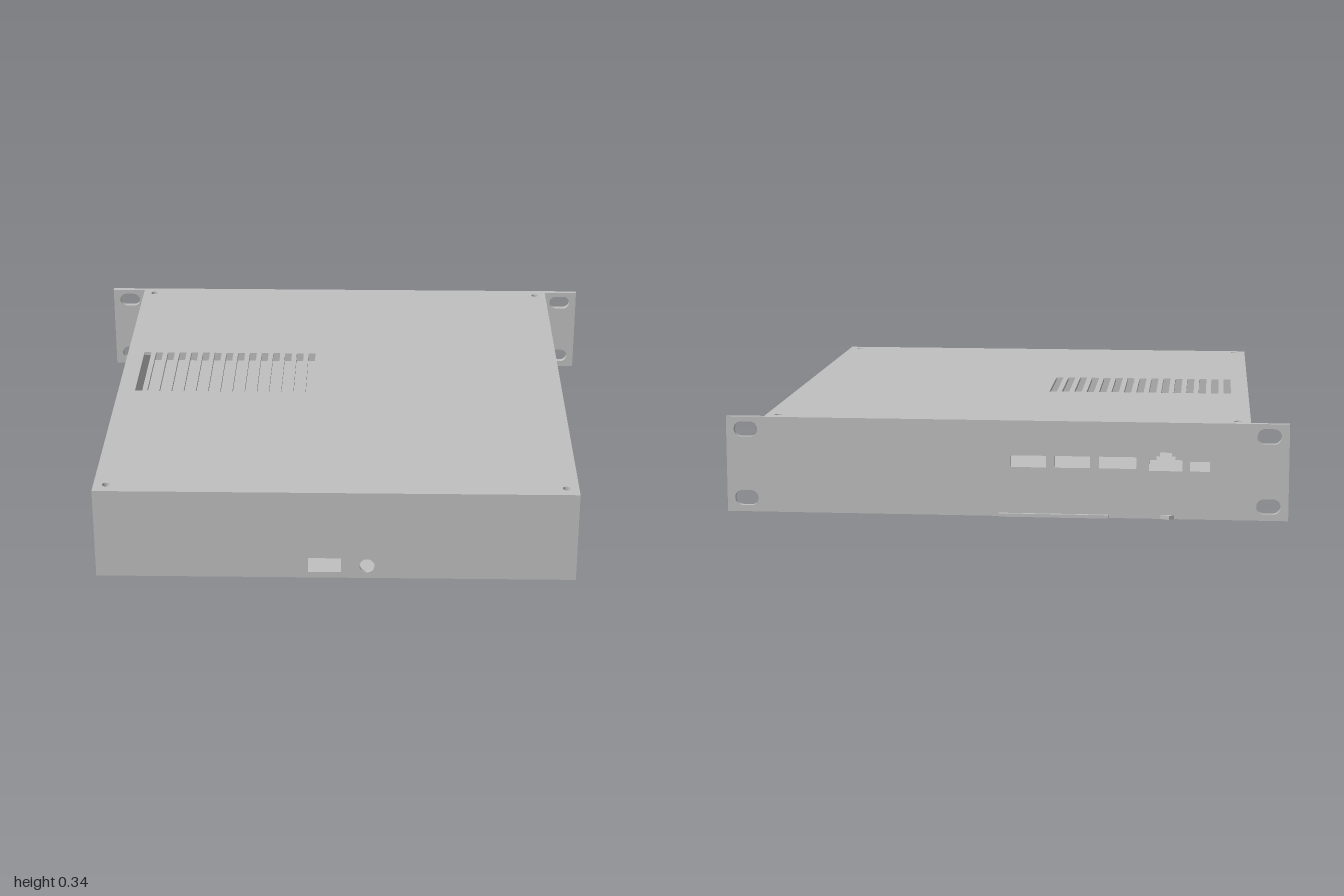
import * as THREE from 'three';

const W = 0.865, H = 0.345, BACK = -0.91, FRONT = 0.945, T = 0.013;

// Closed path from corner points
const poly = (pts) => new THREE.Path(pts.map(([x, y]) => new THREE.Vector2(x, y)));
const rect = (x0, y0, x1, y1) => poly([[x0, y0], [x1, y0], [x1, y1], [x0, y1]]);

function circle(x, y, r) {
  const p = new THREE.Path();
  p.absarc(x, y, r, 0, Math.PI * 2, false);
  return p;
}

// Horizontal slot with round ends
function slot(x, y, w, h) {
  const r = h / 2, s = w / 2 - r, p = new THREE.Path();
  p.absarc(x + s, y, r, -Math.PI / 2, Math.PI / 2, false);
  p.absarc(x - s, y, r, Math.PI / 2, Math.PI * 1.5, false);
  p.closePath();
  return p;
}

// Flat sheet with cutouts, lying in the xy plane
function sheet([x0, y0, x1, y1], holes, depth) {
  const shape = new THREE.Shape(rect(x0, y0, x1, y1).getPoints());
  shape.holes.push(...holes);
  return new THREE.ExtrudeGeometry(shape, { depth, bevelEnabled: false, curveSegments: 12 });
}

export function createModel() {
  const group = new THREE.Group();
  const metal = new THREE.MeshStandardMaterial({ color: 0xbfbfbf });
  metal.name = 'light grey metal';

  function add(name, geometry, x = 0, y = 0, z = 0) {
    const mesh = new THREE.Mesh(geometry, metal);
    mesh.name = name;
    mesh.position.set(x, y, z);
    group.add(mesh);
    return mesh;
  }

  // Rack panel with ear slots and connector cutouts
  const panelHoles = [];
  for (const x of [-0.93, 0.93]) {
    for (const y of [0.05, 0.3]) panelHoles.push(slot(x, y, 0.085, 0.055));
  }
  for (const [x0, x1] of [[-0.147, -0.02], [-0.302, -0.176], [-0.465, -0.333]]) {
    panelHoles.push(rect(x0, 0.178, x1, 0.22));
  }
  panelHoles.push(poly([
    [-0.627, 0.172], [-0.51, 0.172], [-0.51, 0.212], [-0.535, 0.212], [-0.535, 0.225],
    [-0.548, 0.225], [-0.548, 0.238], [-0.59, 0.238], [-0.59, 0.225], [-0.602, 0.225],
    [-0.602, 0.212], [-0.627, 0.212],
  ]));
  panelHoles.push(rect(-0.724, 0.172, -0.653, 0.207));
  add('rackPanel', sheet([-1, 0, 1, H], panelHoles, 0.02), 0, 0, -0.93);

  // Lid with ventilation slots and corner screw holes
  const lidHoles = [];
  for (let i = 0; i < 15; i++) {
    const x = -0.785 + i * 0.0475;
    lidHoles.push(rect(x - 0.014, -0.255, x + 0.014, 0.11));
  }
  for (const x of [-0.82, 0.82]) {
    for (const z of [-0.88, 0.895]) lidHoles.push(circle(x, z, 0.014));
  }
  add('lid', sheet([-W, BACK, W, FRONT], lidHoles, T).rotateX(Math.PI / 2), 0, H, 0);

  // Floor with mounting holes closed by standoffs
  const mounts = [];
  for (const x of [-0.643, -0.042]) for (const z of [-0.222, 0.26]) mounts.push([x, z]);
  const floorHoles = mounts.map(([x, z]) => circle(x, z, 0.02));
  add('floor', sheet([-W, BACK, W, FRONT], floorHoles, T).rotateX(Math.PI / 2), 0, T, 0);
  for (const [x, z] of mounts) {
    add('standoff', new THREE.CylinderGeometry(0.024, 0.024, 0.02, 20), x, T + 0.01, z);
  }

  // Side walls, the right one vented near the front
  const vents = [];
  for (let i = 0; i < 11; i++) {
    const z = 0.418 + i * 0.0482;
    vents.push(rect(z - 0.015, 0.143, z + 0.015, 0.184));
  }
  const side = [BACK, T, FRONT, H - T];
  add('leftWall', sheet(side, [], T).rotateY(-Math.PI / 2), W, 0, 0);
  add('rightWall', sheet(side, vents, T).rotateY(-Math.PI / 2), -W + T, 0, 0);

  // Front wall with power inlet and round jack openings
  const frontHoles = [rect(-0.1, 0.023, 0.02, 0.08), circle(0.113, 0.05, 0.027)];
  add('frontWall', sheet([-W + T, T, W - T, H - T], frontHoles, T), 0, 0, FRONT - T);

  // Small lip and pointed nub along the lower edge of the panel
  add('panelLip', new THREE.BoxGeometry(0.39, 0.012, 0.012), -0.173, 0.006, -0.936);
  const nub = new THREE.Shape();
  nub.moveTo(-0.6, -0.93);
  nub.lineTo(-0.582, -0.945);
  nub.lineTo(-0.55, -0.93);
  const nubGeometry = new THREE.ExtrudeGeometry(nub, { depth: 0.014, bevelEnabled: false });
  add('panelNub', nubGeometry.rotateX(Math.PI / 2), 0, 0.014, 0);

  return group;
}
